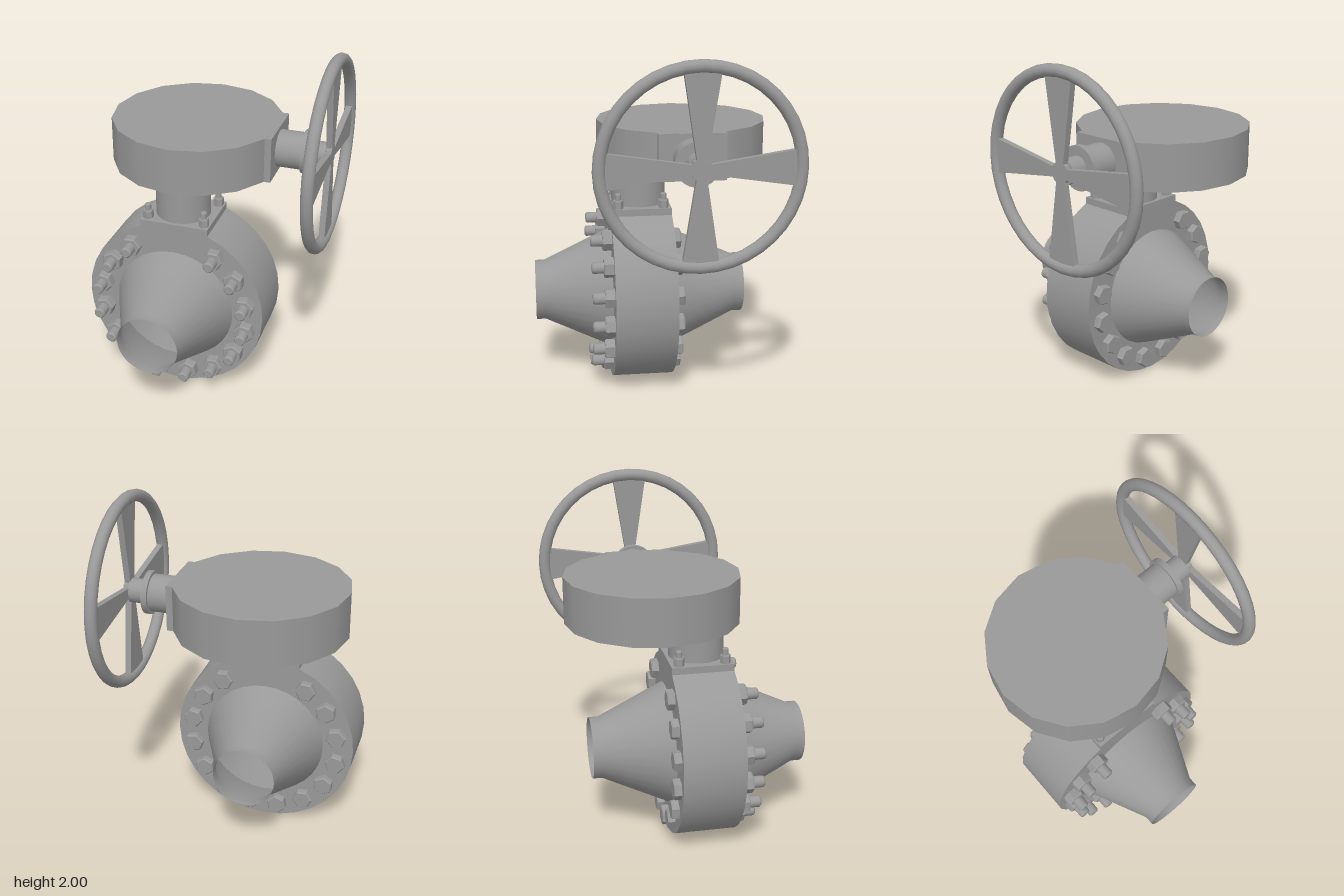
import * as THREE from 'three';
import { toCreasedNormals } from 'three/addons/utils/BufferGeometryUtils.js';

export function createModel() {
  const model = new THREE.Group();
  const color = 0x999999;
  const grey = new THREE.MeshStandardMaterial({ color });
  const greyOpen = new THREE.MeshStandardMaterial({ color, side: THREE.DoubleSide });
  const greyFlat = new THREE.MeshStandardMaterial({ color, flatShading: true });

  function add(parent, name, geometry, x = 0, y = 0, z = 0, material = grey) {
    const mesh = new THREE.Mesh(geometry, material);
    mesh.name = name;
    mesh.position.set(x, y, z);
    parent.add(mesh);
    return mesh;
  }
  // Turned part around the z axis, profile given as [radius, z]
  function turned(profile, segments) {
    const points = profile.map(([r, z]) => new THREE.Vector2(r, z));
    return toCreasedNormals(new THREE.LatheGeometry(points, segments).rotateX(Math.PI / 2), 0.5);
  }
  // Threaded stud with a chamfered tip standing on a hex nut, along +z
  function studAndNut(nutR, nutH, studR, length) {
    const g = new THREE.Group();
    const c = nutH * 0.15;
    add(g, 'nut', new THREE.CylinderGeometry(nutR, nutR, nutH - c, 6).rotateX(Math.PI / 2), 0, 0, (nutH - c) / 2, greyFlat);
    add(g, 'nutChamfer', new THREE.CylinderGeometry(nutR * 0.9, nutR, c, 6).rotateX(Math.PI / 2), 0, 0, nutH - c / 2, greyFlat);
    const t = studR * 0.25;
    add(g, 'stud', turned([[studR, 0], [studR, length - t], [studR - t, length], [0, length]], 16));
    return g;
  }

  // Valve body with tapered pipe ends, bored right through
  const cx = -0.142, cy = 0.535, cz = 0.0975, h = 0.1775;
  const body = new THREE.Group();
  body.name = 'valveBody';
  body.position.set(cx, cy, cz);
  model.add(body);
  add(body, 'bodyRing', turned([[0.355, -h], [0.535, -h], [0.535, h], [0.355, h], [0.355, -h]], 32), 0, 0, 0, greyOpen);
  const pipe = turned([[0.355, h], [0.178, 0.565], [0.178, 0.62]], 32);
  add(body, 'frontPipe', pipe, 0, 0, 0, greyOpen);
  add(body, 'backPipe', pipe, 0, 0, 0, greyOpen).rotation.y = Math.PI;

  // Bolt circle: sixteen places, the two under the mounting pad left free
  for (let i = 0; i < 16; i++) {
    if (i === 3 || i === 4) continue;
    const a = (i + 0.5) * Math.PI / 8;
    const bolt = new THREE.Group();
    bolt.name = 'flangeBolt';
    bolt.position.set(0.444 * Math.cos(a), 0.444 * Math.sin(a), 0);
    bolt.rotation.z = a + Math.PI / 2;
    const nut = studAndNut(0.06, 0.056, 0.033, 0.124);
    nut.name = 'nutAndStud';
    nut.position.z = h;
    bolt.add(nut);
    add(bolt, 'boltHead', new THREE.CylinderGeometry(0.06, 0.06, 0.034, 6).rotateX(-Math.PI / 2), 0, 0, -h - 0.017, greyFlat);
    add(bolt, 'boltHeadChamfer', new THREE.CylinderGeometry(0.053, 0.06, 0.008, 6).rotateX(-Math.PI / 2), 0, 0, -h - 0.038, greyFlat);
    body.add(bolt);
  }

  // Mounting pad, its four studs and the neck
  add(model, 'mountingPad', new THREE.BoxGeometry(0.405, 0.07, 2 * h), cx, 1.035, cz);
  for (const sx of [-1, 1]) for (const sz of [-1, 1]) {
    const stud = studAndNut(0.031, 0.05, 0.018, 0.087);
    stud.name = 'padStud';
    stud.rotation.x = -Math.PI / 2;
    stud.position.set(cx + sx * 0.167, 1.07, cz + sz * 0.132);
    model.add(stud);
  }
  add(model, 'neck', new THREE.CylinderGeometry(0.158, 0.158, 0.26, 32), cx, 1.18, cz);

  // Gearbox: sixteen-sided drum with a square boss for the shaft
  const gz = -0.153, gy = 1.4325;
  add(model, 'gearboxDrum', new THREE.CylinderGeometry(0.492, 0.492, 0.265, 16), cx, gy, gz);
  add(model, 'gearboxBoss', new THREE.BoxGeometry(0.25, 0.264, 0.378), 0.225, gy, gz);

  // Handwheel shaft in three steps: [name, radius, start, end]
  for (const [name, r, x0, x1] of [
    ['shaftHousing', 0.107, 0.34, 0.495],
    ['shaftCollar', 0.124, 0.493, 0.527],
    ['shaft', 0.07, 0.52, 0.625],
  ]) add(model, name, new THREE.CylinderGeometry(r, r, x1 - x0, 32).rotateZ(-Math.PI / 2), (x0 + x1) / 2, gy, gz);

  // Handwheel with a small hub and four spokes flaring towards the rim
  const wheel = new THREE.Group();
  wheel.name = 'handwheel';
  wheel.position.set(0.639, 1.434, gz);
  model.add(wheel);
  add(wheel, 'rim', new THREE.TorusGeometry(0.531, 0.035, 12, 40).rotateY(Math.PI / 2));
  add(wheel, 'hub', new THREE.CylinderGeometry(0.062, 0.062, 0.036, 8).rotateX(0).rotateZ(-Math.PI / 2), 0, 0, 0, greyFlat);
  const spoke = new THREE.Shape([[-0.02, 0], [0.02, 0], [0.1, 0.52], [-0.1, 0.52]]
    .map(([x, y]) => new THREE.Vector2(x, y)));
  const spokeGeometry = new THREE.ExtrudeGeometry(spoke, { depth: 0.035, bevelEnabled: false })
    .translate(0, 0, -0.0175).rotateY(Math.PI / 2);
  for (let i = 0; i < 4; i++) add(wheel, 'spoke', spokeGeometry).rotation.x = i * Math.PI / 2;

  return model;
}
